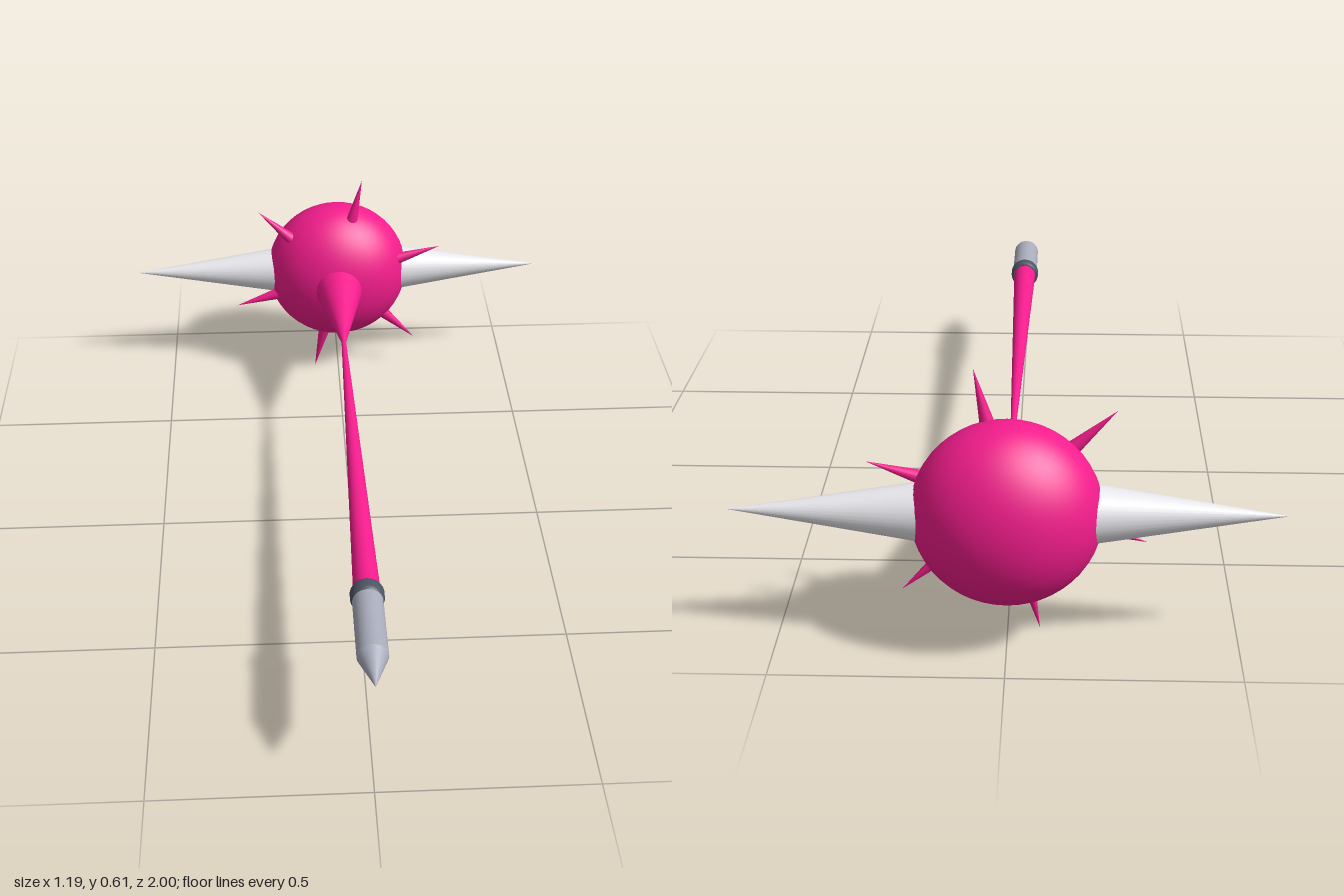
import * as THREE from 'three';

const CENTRE_Y = 0.315, HEAD_Z = -0.842;

export function createModel() {
  const model = new THREE.Group();
  const paint = (color) => new THREE.MeshStandardMaterial({ color });
  const pink = paint(0xf51d8d), white = paint(0xe9e9ee), silver = paint(0xa9acbb), dark = paint(0x4d5563);

  const add = (name, geometry, material) => {
    const mesh = new THREE.Mesh(geometry, material);
    mesh.name = name;
    model.add(mesh);
    return mesh;
  };

  // Tapered round piece along z, from the back end to the front end
  const shaft = (name, zBack, rBack, zFront, rFront, material) => {
    const geometry = new THREE.CylinderGeometry(rFront, rBack, zFront - zBack, 32);
    geometry.rotateX(Math.PI / 2);
    add(name, geometry, material).position.set(0, CENTRE_Y, (zBack + zFront) / 2);
  };

  // Cone pointing away from the head's axis at an angle in the xy plane
  const radialCone = (name, angle, rStart, rTip, radius, z, sides, material) => {
    const geometry = new THREE.ConeGeometry(radius, rTip - rStart, sides);
    geometry.translate(0, (rStart + rTip) / 2, 0);
    const mesh = add(name, geometry, material);
    mesh.rotation.z = angle - Math.PI / 2;
    mesh.position.set(0, CENTRE_Y, z);
  };

  // Flattened round head
  const head = add('head', new THREE.SphereGeometry(1, 48, 32).rotateX(Math.PI / 2), pink);
  head.scale.set(0.205, 0.205, 0.157);
  head.position.set(0, CENTRE_Y, HEAD_Z);

  // Large side horns
  radialCone('leftHorn', 0, 0.15, 0.595, 0.069, HEAD_Z, 32, white);
  radialCone('rightHorn', Math.PI, 0.15, 0.595, 0.069, HEAD_Z, 32, white);

  // Ring of small spikes, just ahead of the horns
  for (let i = 0; i < 6; i++) {
    const angle = THREE.MathUtils.degToRad(77 + i * 60);
    radialCone('spike' + (i + 1), angle, 0.16, 0.315, 0.02, -0.793, 16, pink);
  }

  // Neck and slender handle
  shaft('neck', -0.72, 0.072, -0.39, 0.003, pink);
  shaft('handle', -0.42, 0.006, 0.69, 0.031, pink);

  // Rounded collar
  const profile = [[0, -0.022], [0.031, -0.022], [0.036, -0.018], [0.039, -0.01],
    [0.039, 0.01], [0.036, 0.018], [0.031, 0.022], [0, 0.022]]
    .map(([r, h]) => new THREE.Vector2(r, h));
  const collar = add('collar', new THREE.LatheGeometry(profile, 32).rotateX(Math.PI / 2), dark);
  collar.position.set(0, CENTRE_Y, 0.703);

  // Metal end with a pointed tip
  shaft('metalEnd', 0.71, 0.035, 0.905, 0.035, silver);
  shaft('pointedTip', 0.905, 0.035, 1, 0, silver);

  return model;
}
